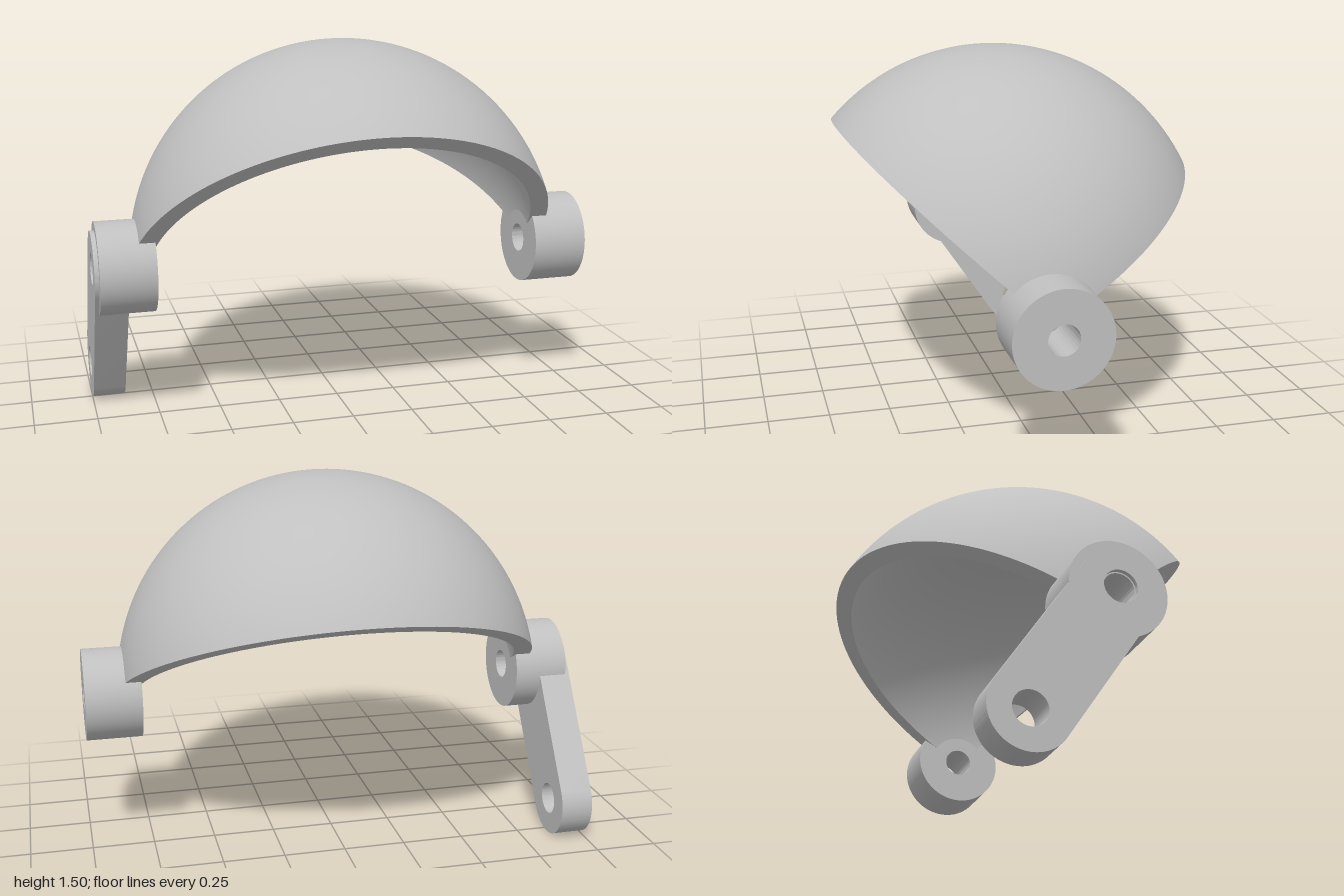
import * as THREE from 'three';
import { toCreasedNormals } from 'three/addons/utils/BufferGeometryUtils.js';

const CENTRE = [0.007, 0.645, 0.055]; // pivot axis, also the centre of the dome
const OUTER = 0.855, INNER = 0.782;   // dome radii
const AXIS_GAP = 0.1;                 // the dome ends inside the hubs, clear of their bores
const FRONT = THREE.MathUtils.degToRad(42.2);
const BACK = THREE.MathUtils.degToRad(151);

export function createModel() {
  const model = new THREE.Group();
  model.name = 'pivotingDome';
  const grey = new THREE.MeshStandardMaterial({ color: 0xc0c0c0 });
  grey.name = 'grey';

  const add = (parent, name, geometry) => {
    const mesh = new THREE.Mesh(geometry, grey);
    mesh.name = name;
    parent.add(mesh);
    return mesh;
  };

  // Flat plate with bores, extruded along x
  const plate = (shape, holes, width, turn = 0) => {
    for (const [y, r] of holes) {
      shape.holes.push(new THREE.Path().absarc(0, y, r, 0, Math.PI * 2, true));
    }
    const g = new THREE.ExtrudeGeometry(shape, { depth: width, bevelEnabled: false, curveSegments: 48 });
    g.rotateZ(turn).rotateY(Math.PI / 2);
    return toCreasedNormals(g, 0.6);
  };

  // Arc of the dome section, from one end of the axis to the other
  const arc = (radius, steps = 72) => {
    const end = Math.acos(AXIS_GAP / radius);
    return Array.from({ length: steps + 1 }, (_, i) => {
      const a = end * (2 * i / steps - 1);
      return new THREE.Vector2(radius * Math.cos(a), radius * Math.sin(a));
    });
  };

  // Dome: a spherical wedge swept about the pivot axis
  const dome = new THREE.Group();
  dome.name = 'dome';
  dome.position.set(...CENTRE);
  dome.rotation.z = Math.PI / 2;
  model.add(dome);
  const outerArc = arc(OUTER), innerArc = arc(INNER).reverse();
  add(dome, 'domeOuter', new THREE.LatheGeometry(outerArc, 64, FRONT, BACK - FRONT));
  add(dome, 'domeInner', new THREE.LatheGeometry(innerArc, 64, FRONT, BACK - FRONT));

  // Flat rims that close the wedge
  const rim = new THREE.ShapeGeometry(new THREE.Shape([...outerArc, ...innerArc]));
  add(dome, 'frontRim', rim.clone().rotateY(FRONT - Math.PI / 2));
  add(dome, 'backRim', rim.clone().rotateX(Math.PI).rotateY(BACK - Math.PI / 2));

  // Hubs at both ends of the axis
  for (const [name, x] of [['leftHub', 0.78], ['rightHub', -0.983]]) {
    const disc = new THREE.Shape().absarc(0, 0, 0.183, 0, Math.PI * 2);
    add(model, name, plate(disc, [[0, 0.058]], x > 0 ? 0.22 : 0.217))
      .position.set(x, CENTRE[1], CENTRE[2]);
  }

  // Lever arm on the right hub
  const length = 0.597, r = 0.148;
  const bar = new THREE.Shape()
    .absarc(0, 0, r, 0, Math.PI)
    .absarc(0, -length, r, Math.PI, Math.PI * 2);
  bar.closePath();
  add(model, 'lever', plate(bar, [[0, 0.063], [-length, 0.063]], 0.13, Math.atan2(0.332, 0.497)))
    .position.set(-1, CENTRE[1], CENTRE[2]);

  return model;
}
